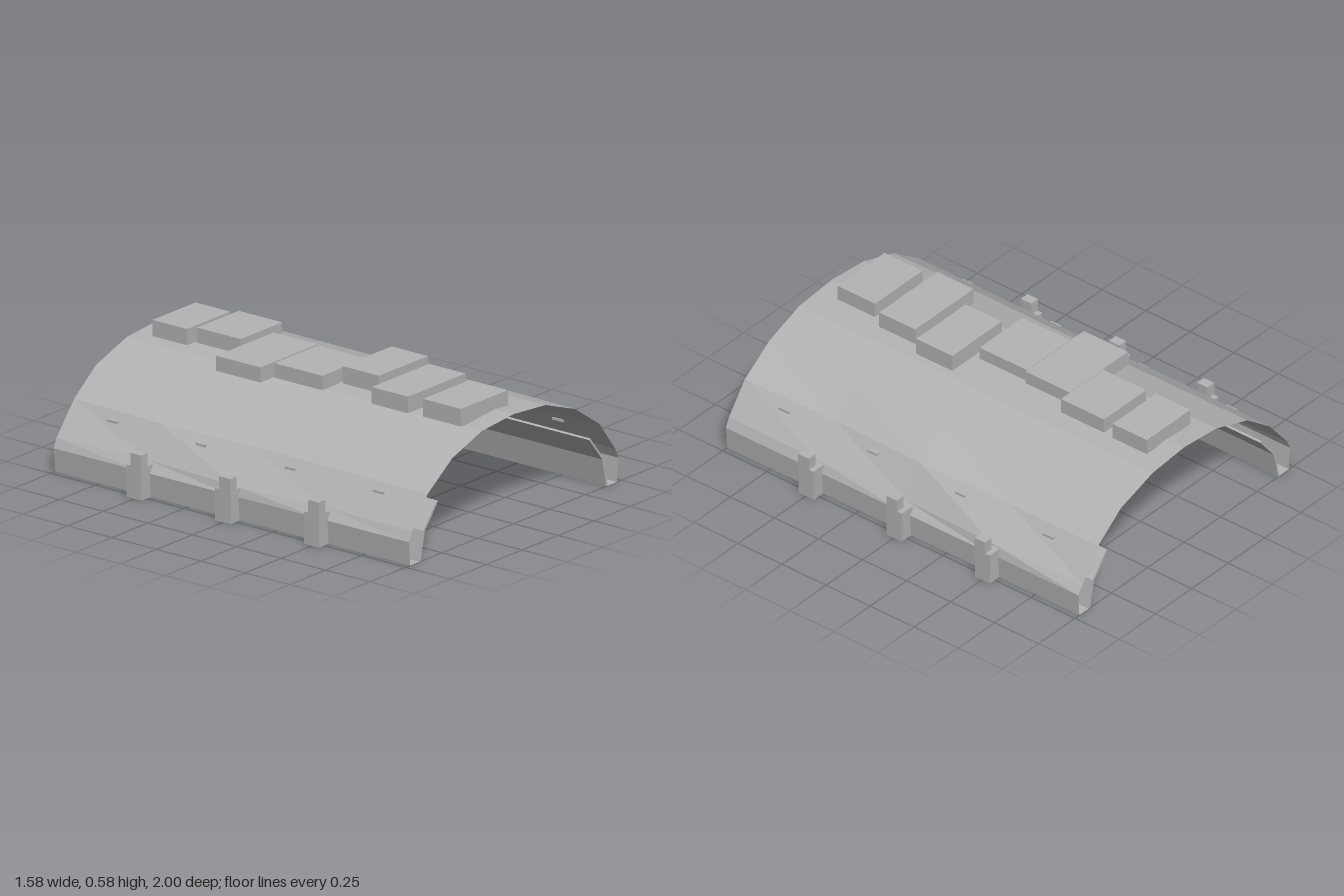
import * as THREE from 'three';

const grey = new THREE.MeshStandardMaterial({ color: 0xb4b4b4, side: THREE.DoubleSide, flatShading: true });
grey.name = 'plain grey';

function addMesh(parent, name, geometry) {
  const mesh = new THREE.Mesh(geometry, grey);
  mesh.name = name;
  parent.add(mesh);
  return mesh;
}

// Box given by its extents on each axis
function addBox(parent, name, [x0, x1], [y0, y1], [z0, z1]) {
  const box = addMesh(parent, name, new THREE.BoxGeometry(x1 - x0, y1 - y0, z1 - z0));
  box.position.set((x0 + x1) / 2, (y0 + y1) / 2, (z0 + z1) / 2);
  return box;
}

// Sheet swept along z through a row of cross-sections
function sheet(profileAt, zs) {
  const rows = zs.map(profileAt);
  const n = rows[0].length;
  const pos = [], index = [];
  rows.forEach((row, j) => row.forEach(([x, y]) => pos.push(x, y, zs[j])));
  for (let j = 0; j < zs.length - 1; j++) {
    for (let i = 0; i < n - 1; i++) {
      const a = j * n + i, b = a + 1, c = a + n, d = c + 1;
      index.push(a, c, b, b, c, d);
    }
  }
  const g = new THREE.BufferGeometry();
  g.setAttribute('position', new THREE.Float32BufferAttribute(pos, 3));
  g.setIndex(index);
  const flat = g.toNonIndexed();
  flat.computeVertexNormals();
  return flat;
}

export function createModel() {
  const model = new THREE.Group();
  model.name = 'archedRoof';

  // Arched shell, slightly uneven along its length
  const half = [[0.72, 0], [0.728, 0.11], [0.705, 0.155], [0.593, 0.3], [0.43, 0.418], [0.22, 0.489]];
  const arch = [...half.map(([x, y]) => [-x, y]), [0, 0.508], ...half.slice().reverse()];
  const wobble = [0, 0, 0.01, 0.008, 0.004, 0.003];
  const shellAt = (z) => arch.map(([x, y], i) => {
    const k = Math.min(i, arch.length - 1 - i);
    const w = (wobble[k] ?? 0) * Math.sin(z * 5 + i * 2.3);
    return [x + w, y + w * 0.3];
  });
  addMesh(model, 'shell', sheet(shellAt, [-1, -0.5, 0, 0.5, 1]));

  for (const s of [1, -1]) {
    const side = new THREE.Group();
    side.name = s > 0 ? 'leftSide' : 'rightSide';
    model.add(side);
    const span = (a, b) => (s > 0 ? [a, b] : [-b, -a]);

    // Inner lining, a thin bent plate
    const lining = new THREE.Shape(
      [[0.645, 0], [0.655, 0], [0.627, 0.136], [0.533, 0.252], [0.525, 0.246], [0.618, 0.131]]
        .map(([x, y]) => new THREE.Vector2(s * x, y)));
    const liningGeometry = new THREE.ExtrudeGeometry(lining, { depth: 2, bevelEnabled: false });
    addMesh(side, 'lining', liningGeometry.translate(0, 0, -1));

    // Flat sill joining the lining to the shell
    addMesh(side, 'sill', sheet(() => [[s * 0.65, 0], [s * 0.72, 0]], [-1, 1]));

    // Stepped brackets on the outer edge
    for (const z of [-0.5, 0, 0.5]) {
      addBox(side, 'bracket', span(0.71, 0.785), [0, 0.15], [z - 0.045, z + 0.04]);
      addBox(side, 'bracketTop', span(0.742, 0.788), [0.13, 0.21], [z - 0.02, z + 0.04]);
    }

    // Small clips on the flank
    for (const z of [-0.75, -0.25, 0.25, 0.75]) {
      addBox(side, 'clip', span(0.612, 0.634), [0.257, 0.268], [z - 0.028, z + 0.028]);
    }
  }

  // Uneven row of slabs along the ridge: x range, y range, z range
  const slabs = [
    [[-0.165, 0.135], [0.5, 0.575], [-0.9, -0.705]],
    [[-0.145, 0.145], [0.515, 0.585], [-0.665, -0.42]],
    [[-0.34, 0.06], [0.495, 0.565], [-0.4, -0.15]],
    [[-0.25, 0.045], [0.495, 0.562], [-0.145, 0.125]],
    [[-0.145, 0.195], [0.505, 0.585], [0.155, 0.36]],
    [[-0.265, 0.135], [0.5, 0.577], [0.415, 0.62]],
    [[-0.235, 0.09], [0.49, 0.572], [0.68, 0.895]],
  ];
  for (const [x, y, z] of slabs) addBox(model, 'ridgeSlab', x, y, z);

  return model;
}
